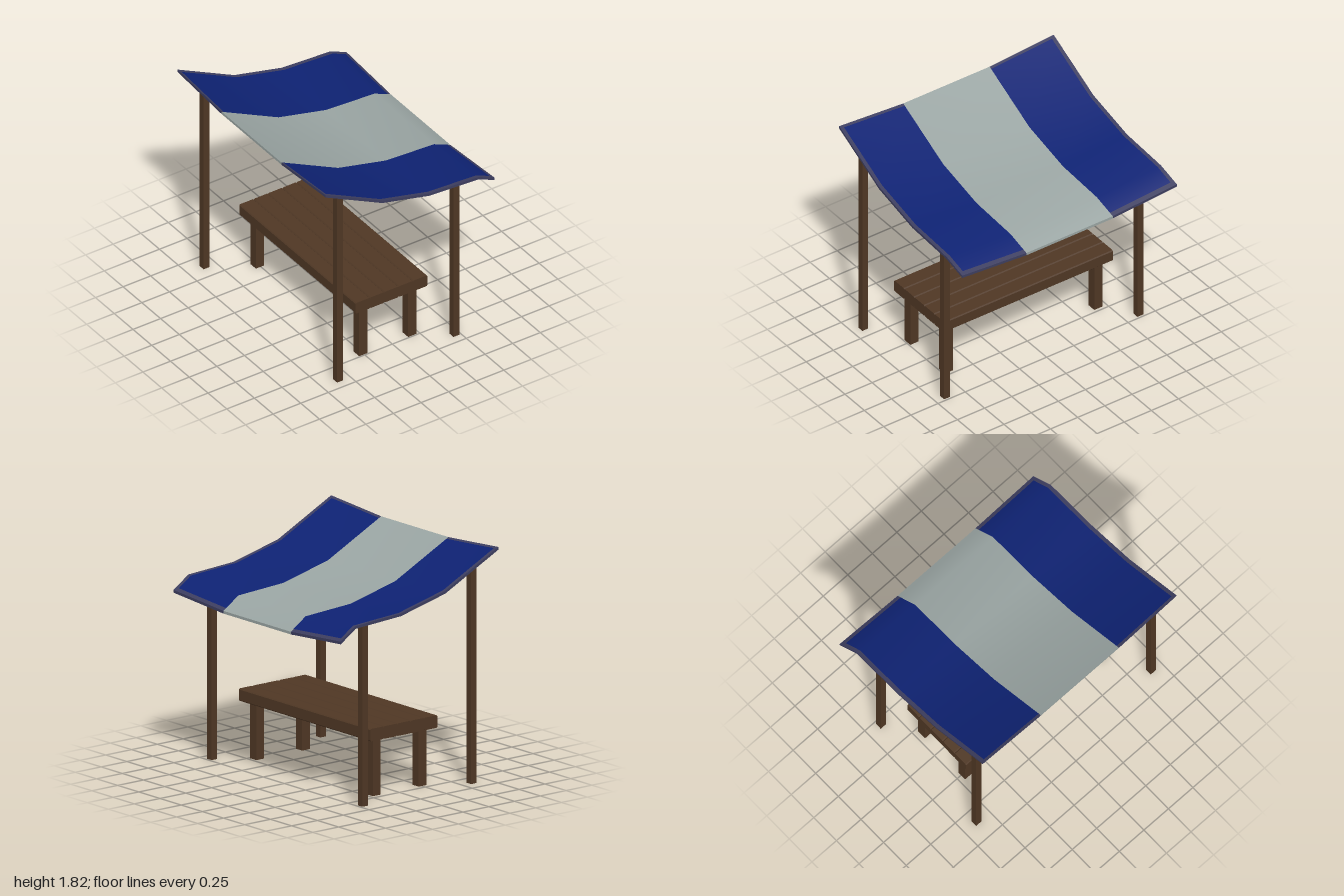
import * as THREE from 'three';
import { toCreasedNormals } from 'three/addons/utils/BufferGeometryUtils.js';

const Z0 = 0.0125; // the whole shelter is built around this z

function makeMaterial(name, color) {
  const m = new THREE.MeshStandardMaterial({ color });
  m.name = name;
  return m;
}

// Canopy profile along x: [x, height of the raised edge]
const PROFILE = [[-0.775, 1.818], [-0.26, 1.563], [0.17, 1.46], [0.61, 1.435], [0.775, 1.348]];
const STRIPE = 0.3975, EDGE = 0.9875, THICK = 0.021;

// Point on the cloth: sagging profile in x, sides lifted outside the stripe,
// and the front lip pulled slightly sideways.
function clothPoint(x, u, drop) {
  let i = 0;
  while (i < PROFILE.length - 2 && x > PROFILE[i + 1][0]) i++;
  const [xa, ya] = PROFILE[i], [xb, yb] = PROFILE[i + 1];
  const y = ya + (yb - ya) * (x - xa) / (xb - xa);
  const lift = 0.043 * (Math.max(0, Math.abs(u) - STRIPE) / (EDGE - STRIPE) - 1);
  const skew = -0.027 * Math.max(0, (x - 0.61) / 0.165);
  return [x, y + lift - drop, Z0 + u + skew];
}

function canopyGeometry() {
  const xs = [-0.775, -0.755, -0.26, 0.17, 0.61, 0.745, 0.775];
  const us = [-EDGE, -0.957, -STRIPE, STRIPE, 0.957, EDGE];
  const lists = [[], [], []]; // blue, stripe, hem
  const quad = (m, a, b, c, d) => lists[m].push(...a, ...b, ...c, ...a, ...c, ...d);
  const top = (x, u) => clothPoint(x, u, 0);
  const low = (x, u) => clothPoint(x, u, THICK);
  const rim = (m, x0, u0, x1, u1) => quad(m, top(x0, u0), low(x0, u0), low(x1, u1), top(x1, u1));
  const nx = xs.length - 1, nu = us.length - 1;

  for (let i = 0; i < nx; i++) {
    const x0 = xs[i], x1 = xs[i + 1];
    for (let j = 0; j < nu; j++) {
      const u0 = us[j], u1 = us[j + 1];
      const stripe = j === 2;
      const hem = i === 0 || i === nx - 1 || j === 0 || j === nu - 1;
      quad(stripe ? 1 : hem ? 2 : 0, top(x0, u0), top(x0, u1), top(x1, u1), top(x1, u0));
      quad(stripe ? 1 : 0, low(x0, u0), low(x1, u0), low(x1, u1), low(x0, u1));
    }
    // long rims
    rim(2, x0, EDGE, x1, EDGE);
    rim(2, x1, -EDGE, x0, -EDGE);
  }
  // end rims
  for (let j = 0; j < nu; j++) {
    const m = j === 2 ? 1 : 2;
    rim(m, xs[nx], us[j + 1], xs[nx], us[j]);
    rim(m, xs[0], us[j], xs[0], us[j + 1]);
  }

  let g = new THREE.BufferGeometry();
  g.setAttribute('position', new THREE.Float32BufferAttribute(lists.flat(), 3));
  g = toCreasedNormals(g, 0.6);
  let start = 0;
  lists.forEach((l, m) => {
    g.addGroup(start, l.length / 3, m);
    start += l.length / 3;
  });
  return g;
}

// Plank with chamfered long edges, running along z
function plankGeometry(w, h, length, c) {
  const a = w / 2, b = h / 2;
  const s = new THREE.Shape([
    [-a + c, -b], [a - c, -b], [a, -b + c], [a, b - c],
    [a - c, b], [-a + c, b], [-a, b - c], [-a, -b + c],
  ].map(([x, y]) => new THREE.Vector2(x, y)));
  const g = new THREE.ExtrudeGeometry(s, { depth: length, bevelEnabled: false });
  return g.translate(0, 0, -length / 2);
}

export function createModel() {
  const group = new THREE.Group();
  group.name = 'shadedBench';
  const wood = makeMaterial('brown wood', 0x4f3724);
  const blue = makeMaterial('blue cloth', 0x0e2273);
  const pale = makeMaterial('pale grey cloth', 0x9aa5a3);
  const hem = makeMaterial('slate hem', 0x3d3e60);

  const add = (name, geometry, material, x = 0, y = 0, z = 0) => {
    const mesh = new THREE.Mesh(geometry, material);
    mesh.name = name;
    mesh.position.set(x, y, z);
    group.add(mesh);
  };

  add('canopy', canopyGeometry(), [blue, pale, hem]);

  // Posts and bench legs, front and back
  for (const side of [1, -1]) {
    for (const [x, h] of [[-0.597, 1.7], [0.457, 1.412]]) {
      add('post', new THREE.BoxGeometry(0.053, h, 0.053), wood, x, h / 2, Z0 + 0.003 + side * 0.89);
    }
    for (const x of [-0.257, 0.187]) {
      add('benchLeg', new THREE.BoxGeometry(0.075, 0.45, 0.075), wood, x, 0.225, Z0 + 0.003 + side * 0.688);
    }
  }

  // Bench top of five planks
  for (let i = 0; i < 5; i++) {
    add('benchPlank', plankGeometry(0.13, 0.097, 1.552, 0.008), wood, -0.295 + i * 0.13, 0.4925, Z0 + 0.003);
  }
  return group;
}
